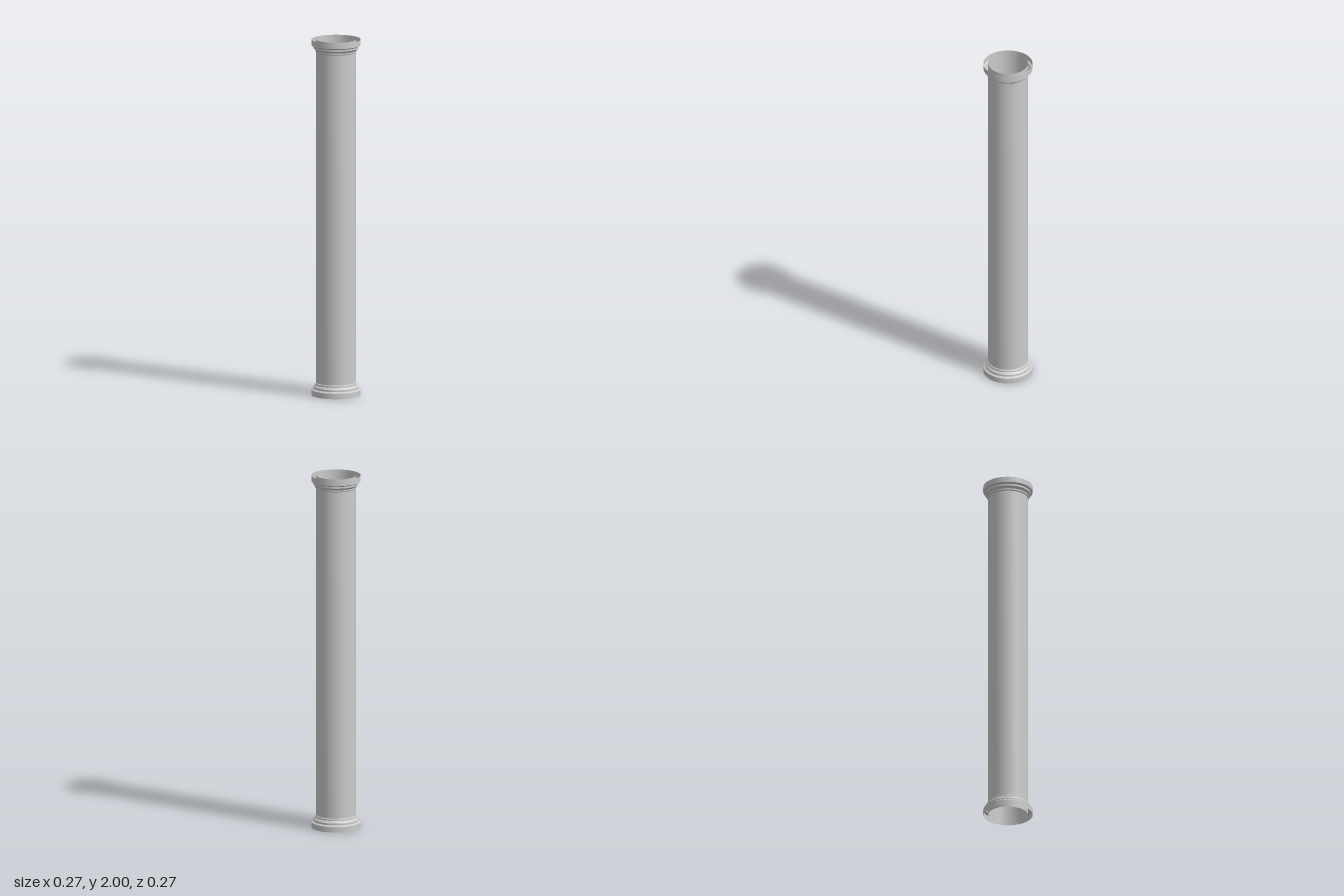
import * as THREE from 'three';
import { toCreasedNormals } from 'three/addons/utils/BufferGeometryUtils.js';

const HEIGHT = 2, SHAFT_R = 0.11, SEGMENTS = 32;

// Stepped moulding, from the outer end towards the shaft: [radius, distance from the end]
const MOULDING = [
  [0.137, 0], [0.137, 0.031], [0.126, 0.038], [0.126, 0.048],
  [0.115, 0.06], [0.115, 0.068], [SHAFT_R, 0.072],
];

export function createModel() {
  const group = new THREE.Group();
  const material = new THREE.MeshStandardMaterial({ color: 0xcccccc, side: THREE.DoubleSide });

  // Revolve a profile listed from bottom to top, keeping the steps crisp
  const turn = (name, profile) => {
    const points = profile.map(([r, y]) => new THREE.Vector2(r, y));
    const geometry = toCreasedNormals(new THREE.LatheGeometry(points, SEGMENTS), 0.4);
    const mesh = new THREE.Mesh(geometry, material);
    mesh.name = name;
    group.add(mesh);
  };

  // Hollow shaft, open at both ends
  turn('shaft', [[SHAFT_R, 0], [SHAFT_R, HEIGHT]]);

  // Base collar and its mirrored twin at the top
  turn('baseCollar', MOULDING);
  turn('topCollar', MOULDING.map(([r, y]) => [r, HEIGHT - y]).reverse());

  return group;
}
